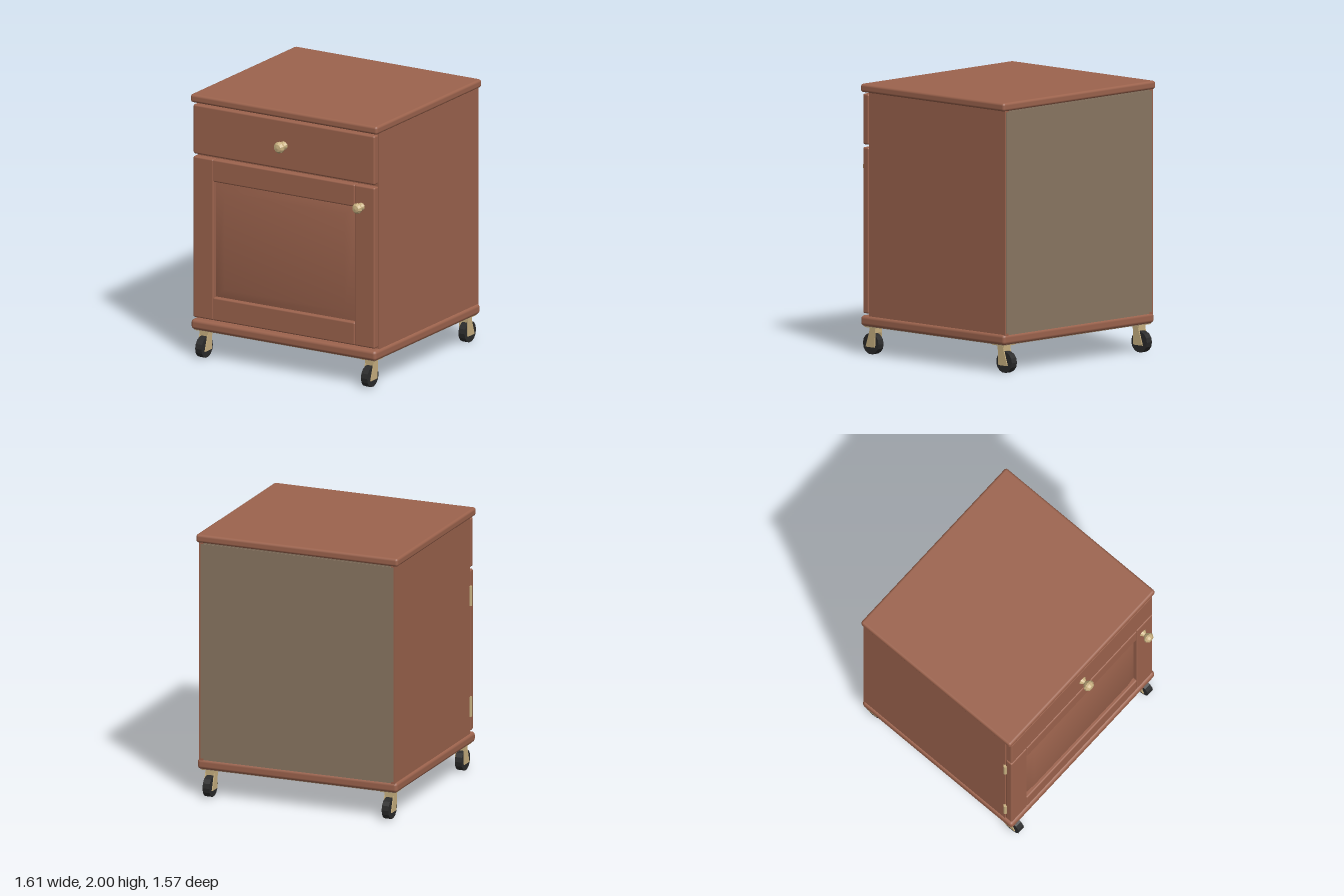
import * as THREE from 'three';
import { RoundedBoxGeometry } from 'three/addons/geometries/RoundedBoxGeometry.js';
import { toCreasedNormals } from 'three/addons/utils/BufferGeometryUtils.js';

const mat = (color, extra = {}) => Object.assign(new THREE.MeshStandardMaterial({ color }), extra);

export function createModel() {
  const model = new THREE.Group();
  const wood = mat(0x9c634d);
  const board = mat(0x8a7662);
  const brass = mat(0xc8b080);
  const rubber = mat(0x2b2b2b);

  const add = (name, geometry, material, parent = model) => {
    const mesh = new THREE.Mesh(geometry, material);
    mesh.name = name;
    parent.add(mesh);
    return mesh;
  };
  // Box given by its limits on each axis; r > 0 rounds the edges
  const block = (name, material, [x0, x1], [y0, y1], [z0, z1], r = 0, parent = model) => {
    const size = [x1 - x0, y1 - y0, z1 - z0];
    const geometry = r ? new RoundedBoxGeometry(...size, 2, r) : new THREE.BoxGeometry(...size);
    const mesh = add(name, geometry, material, parent);
    mesh.position.set((x0 + x1) / 2, (y0 + y1) / 2, (z0 + z1) / 2);
    return mesh;
  };

  // Carcass
  block('topBoard', wood, [-0.803, 0.803], [1.937, 2], [-0.765, 0.69], 0.02);
  block('basePlinth', wood, [-0.795, 0.795], [0.212, 0.29], [-0.76, 0.697], 0.025);
  block('basePanel', board, [-0.775, 0.775], [0.209, 0.23], [-0.742, 0.677]);
  block('leftSide', wood, [0.745, 0.78], [0.28, 1.94], [-0.755, 0.62]);
  block('rightSide', wood, [-0.78, -0.745], [0.28, 1.94], [-0.755, 0.62]);
  block('backPanel', board, [-0.765, 0.765], [0.28, 1.94], [-0.752, -0.73]);
  block('backPanelFace', board, [-0.767, 0.767], [0.297, 1.93], [-0.757, -0.75]);
  block('dividerShelf', wood, [-0.745, 0.745], [1.52, 1.56], [-0.73, 0.615]);

  // Drawer front and door frame
  const front = [0.625, 0.685];
  block('drawerFront', wood, [-0.78, 0.78], [1.55, 1.925], front, 0.014);
  const door = new THREE.Group();
  door.name = 'door';
  model.add(door);
  block('hingeStile', wood, [-0.78, -0.606], [0.305, 1.53], front, 0.012, door);
  block('knobStile', wood, [0.606, 0.78], [0.305, 1.53], front, 0.012, door);
  block('bottomRail', wood, [-0.61, 0.61], [0.305, 0.48], front, 0.012, door);
  block('topRail', wood, [-0.61, 0.61], [1.36, 1.53], front, 0.012, door);

  // Raised door panel: a box whose front face is drawn in to make the bevel
  const panel = new THREE.BoxGeometry(1.23, 0.9, 0.03);
  const p = panel.attributes.position;
  for (let i = 0; i < p.count; i++) {
    if (p.getZ(i) > 0) p.setXY(i, p.getX(i) * 0.84, p.getY(i) * 0.82);
  }
  const raised = add('raisedPanel', toCreasedNormals(panel, 0.6), wood, door);
  raised.position.set(0, 0.92, 0.66);
  block('panelBacking', wood, [-0.615, 0.615], [0.47, 1.37], [0.63, 0.647], 0, door);

  // Turned knobs
  const knobProfile = [[0, 0], [0.034, 0], [0.03, 0.008], [0.015, 0.028], [0.026, 0.036],
    [0.043, 0.056], [0.043, 0.072], [0.028, 0.092], [0, 0.097]].map(([x, y]) => new THREE.Vector2(x, y));
  const knobMetal = mat(0xc8b080, { flatShading: true });
  for (const [name, x, y, s] of [['drawerKnob', 0, 1.733, 1], ['doorKnob', 0.667, 1.373, 0.92]]) {
    const knob = add(name, new THREE.LatheGeometry(knobProfile, 10), knobMetal);
    knob.rotation.x = Math.PI / 2;
    knob.scale.setScalar(s);
    knob.position.set(x, y, 0.683);
  }

  // Hinge barrels
  for (const y of [0.495, 1.338]) {
    const hinge = add('hinge', new THREE.CylinderGeometry(0.014, 0.014, 0.15, 8), brass);
    hinge.position.set(-0.783, y, 0.625);
  }

  // Casters: plate, two leaning fork cheeks with a bridge, and a wheel
  const cheek = new THREE.Shape([[-0.055, 0.21], [-0.048, 0.055], [0.042, 0.055], [-0.008, 0.21]]
    .map(([z, y]) => new THREE.Vector2(z, y)));
  const cheekGeometry = new THREE.ExtrudeGeometry(cheek, { depth: 0.008, bevelEnabled: false });
  cheekGeometry.translate(0, 0, -0.004);
  cheekGeometry.rotateY(-Math.PI / 2);
  const wheelGeometry = new THREE.CylinderGeometry(0.079, 0.079, 0.054, 14);
  wheelGeometry.rotateZ(Math.PI / 2);
  for (const x of [-0.712, 0.712]) {
    for (const [z, turn] of [[0.642, 0], [-0.706, Math.PI]]) {
      const caster = new THREE.Group();
      caster.name = 'caster';
      caster.position.set(x, 0, z);
      caster.rotation.y = turn;
      model.add(caster);
      block('casterPlate', brass, [-0.06, 0.06], [0.203, 0.213], [-0.09, 0.03], 0, caster);
      block('forkBridge', brass, [-0.037, 0.037], [0.162, 0.208], [-0.052, 0.004], 0, caster);
      for (const side of [-0.034, 0.034]) add('forkCheek', cheekGeometry, brass, caster).position.x = side;
      add('wheel', wheelGeometry, mat(rubber.color, { flatShading: true }), caster).position.y = 0.079;
    }
  }
  return model;
}
